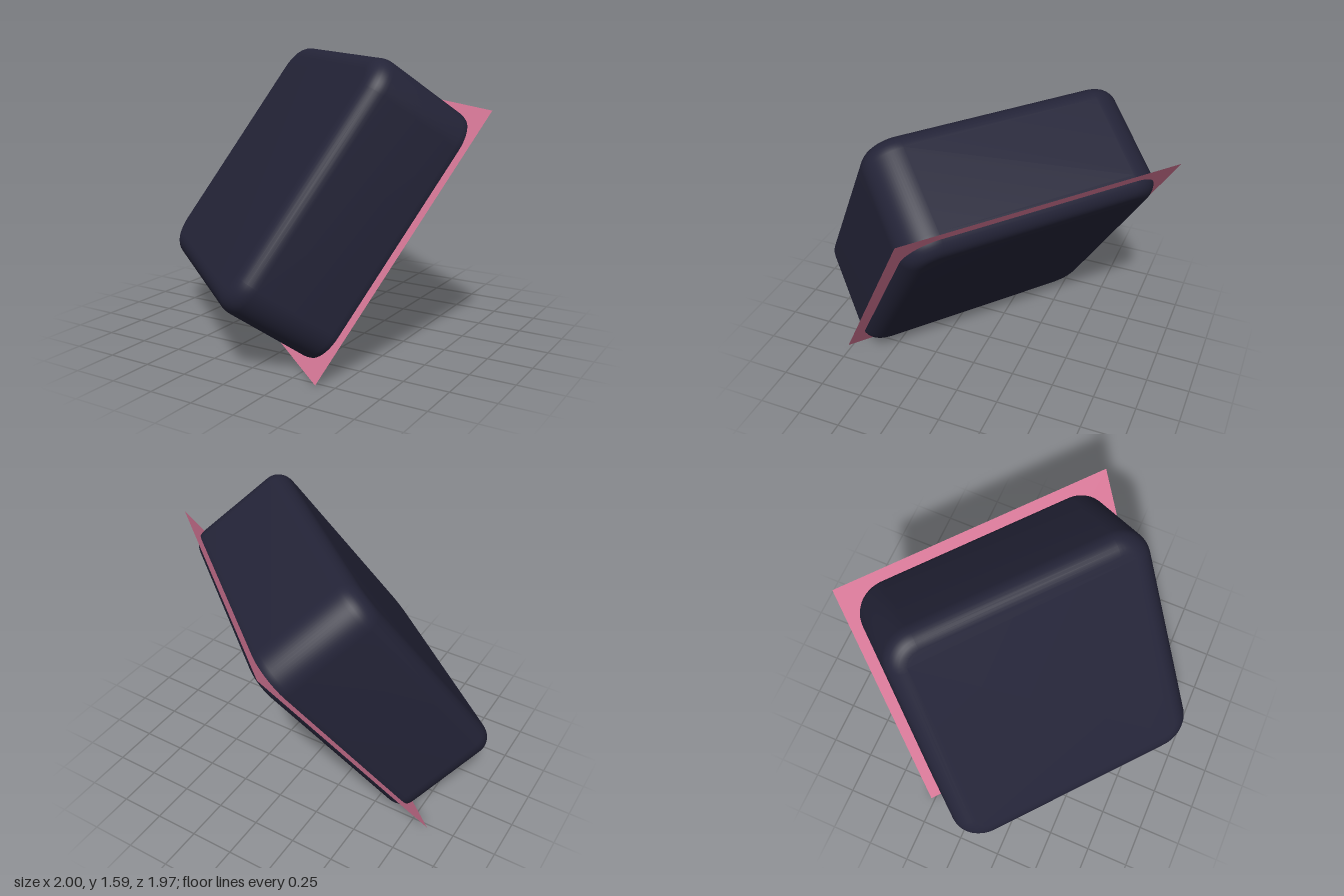
import * as THREE from 'three';
import { toCreasedNormals } from 'three/addons/utils/BufferGeometryUtils.js';

const rad = THREE.MathUtils.degToRad;

// Square outline with rounded corners, centred on the origin
function roundedSquare(half, r) {
  const s = new THREE.Shape();
  const k = half - r;
  s.absarc(k, k, r, 0, Math.PI / 2);
  s.absarc(-k, k, r, Math.PI / 2, Math.PI);
  s.absarc(-k, -k, r, Math.PI, Math.PI * 1.5);
  s.absarc(k, -k, r, Math.PI * 1.5, Math.PI * 2);
  s.closePath();
  return s;
}

export function createModel() {
  const darkNavy = new THREE.MeshStandardMaterial({ color: 0x242438 });
  const pink = new THREE.MeshStandardMaterial({ color: 0xdb7a9a, side: THREE.DoubleSide });

  // Tilted frame: local z is the direction the thick slab faces
  const tile = new THREE.Group();
  tile.name = 'tiltedTile';
  tile.rotation.set(rad(-35), rad(-40), 0, 'YXZ');
  tile.position.set(0.075, 0.666, -0.107);

  // Thick slab with rounded corners and softer rounded rims
  const half = 0.75, halfDepth = 0.335, corner = 0.19, rim = 0.1;
  const depth = 2 * (halfDepth - rim);
  const geo = new THREE.ExtrudeGeometry(roundedSquare(half - rim, corner - rim), {
    depth, bevelEnabled: true, bevelSize: rim, bevelThickness: rim,
    bevelSegments: 8, curveSegments: 10,
  });
  geo.translate(0, 0, -depth / 2);
  const slab = new THREE.Mesh(toCreasedNormals(geo, rad(40)), darkNavy);
  slab.name = 'roundedSlab';
  slab.position.z = 0.271;

  // Thin square sheet that cuts through the slab near its back
  const sheet = new THREE.Mesh(new THREE.PlaneGeometry(1.628, 1.628), pink);
  sheet.name = 'backingSheet';

  tile.add(slab, sheet);
  const model = new THREE.Group();
  model.name = 'model';
  model.add(tile);
  return model;
}
